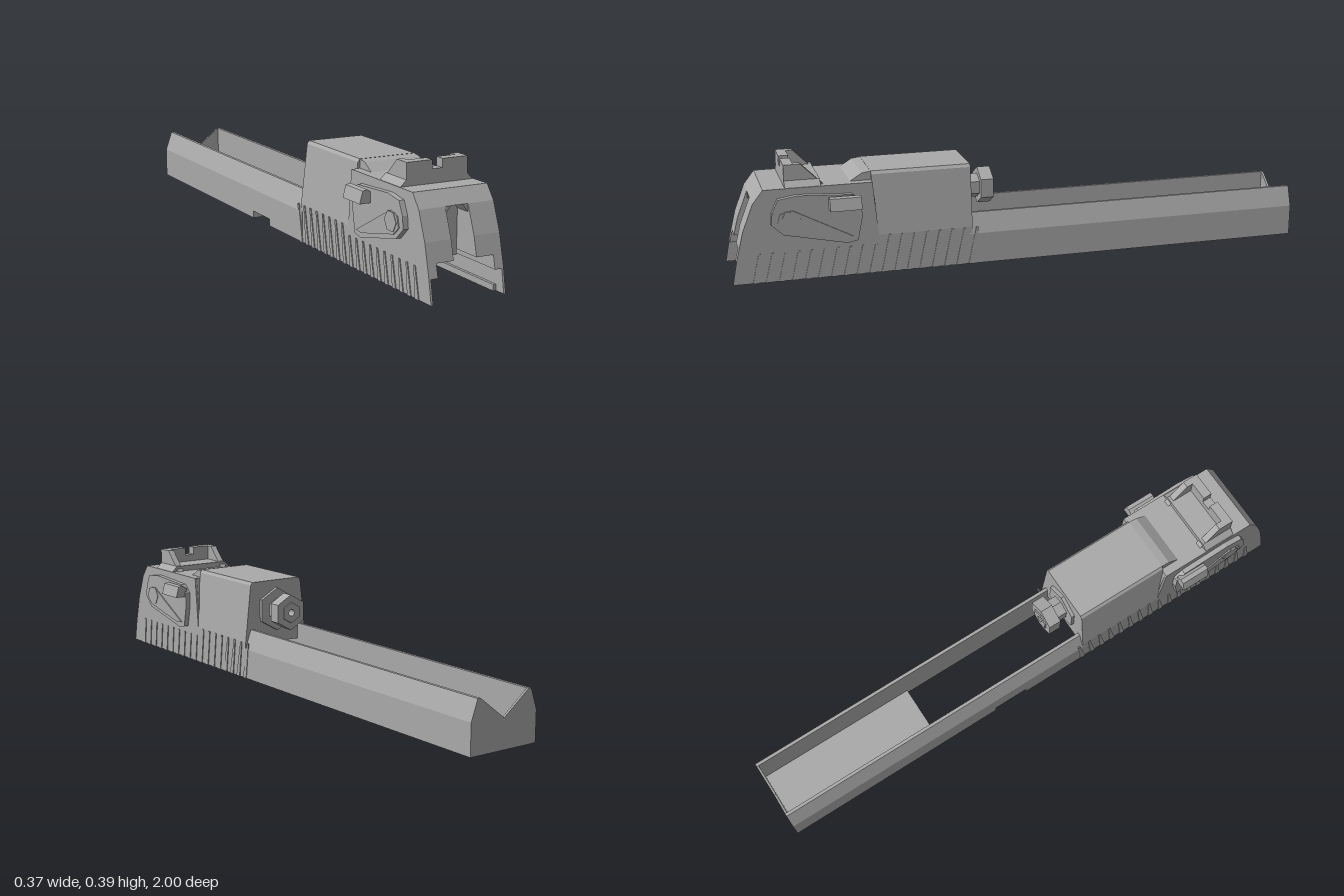
import * as THREE from 'three';

const steel = new THREE.MeshStandardMaterial({ color: 0xa9a9a9 });
steel.name = 'grey steel';

export function createModel() {
  const model = new THREE.Group();
  model.name = 'pistolSlide';

  const add = (name, geo) => {
    const g = geo.index ? geo.toNonIndexed() : geo;
    g.computeVertexNormals();
    const m = new THREE.Mesh(g, steel);
    m.name = name;
    model.add(m);
    return m;
  };
  const shapeOf = pts => new THREE.Shape(pts.map(p => new THREE.Vector2(p[0], p[1])));
  const extrude = (shape, depth) =>
    new THREE.ExtrudeGeometry(shape, { depth, bevelEnabled: false, curveSegments: 6 });
  // Side outline of [z, y] points, running from x0 to x1
  const across = (name, pts, x0, x1) =>
    add(name, extrude(shapeOf(pts), x1 - x0).rotateY(-Math.PI / 2).translate(x1, 0, 0));
  // Section of [x, y] points, running from z0 to z1
  const along = (name, pts, z0, z1) =>
    add(name, extrude(shapeOf(pts), z1 - z0).translate(0, 0, z0));
  const box = (name, x0, x1, y0, y1, z0, z1) =>
    add(name, new THREE.BoxGeometry(x1 - x0, y1 - y0, z1 - z0)
      .translate((x0 + x1) / 2, (y0 + y1) / 2, (z0 + z1) / 2));
  const mirrorX = pts => pts.map(([x, y]) => [-x, y]);
  // Range on the +x side, or its mirror image on the -x side
  const range = (s, a, b) => s > 0 ? [a, b] : [-b, -a];

  // Rear housing: side slabs whose undersides step up to form the channel
  const curve = [[1, 0], [0.985, 0.08], [0.96, 0.18], [0.925, 0.27], [0.89, 0.315]];
  const rearZ = y => {
    const i = curve.findIndex(p => p[1] > y);
    const [a, b] = [curve[i - 1], curve[i]];
    return a[0] + (b[0] - a[0]) * (y - a[1]) / (b[1] - a[1]);
  };
  const rearProfile = b => [[0.5, b], [rearZ(b), b], ...curve.filter(p => p[1] > b), [0.53, 0.315]];
  for (const s of [1, -1]) {
    across('rearSkirt', rearProfile(0), ...range(s, 0.124, 0.131));
    across('rearWall', rearProfile(0.075), ...range(s, 0.1, 0.124));
    across('rearShoulder', rearProfile(0.118), ...range(s, 0.04, 0.1));
  }
  // Middle slab with the upright slot in its back
  across('slottedCentre', [[0.5, 0.118], [0.55, 0.1], [0.87, 0.1], [0.87, 0.262],
    [0.925, 0.27], [0.89, 0.315], [0.5, 0.315]], -0.04, 0.04);
  // Sloping corners at the top of the slot
  for (const s of [1, -1]) {
    along('slotCorner', [[0.04 * s, 0.245], [0.04 * s, 0.27], [0.02 * s, 0.27]], 0.87, 0.925);
  }

  // Tall middle housing with tapered sides and a channel underneath
  const half = [[0.131, 0], [0.131, 0.13], [0.108, 0.335], [0.1, 0.345]];
  const inner = [[0.1, 0.118], [0.1, 0.075], [0.124, 0.075], [0.124, 0]];
  along('middleHousing', [...half, ...mirrorX(half).reverse(),
    ...mirrorX(inner).reverse(), ...inner], 0.19, 0.53);
  across('topRamp', [[0.5, 0.3], [0.61, 0.3], [0.6, 0.315], [0.56, 0.34], [0.525, 0.345], [0.5, 0.345]],
    -0.1, 0.1);

  // Long side rails; the -x one has a notch in its lower edge
  const rail = b => [[0.132, b], [0.132, 0.106], [0.108, 0.175], [0.097, 0.175], [0.097, b]];
  along('rightRail', rail(0), -1, 0.2);
  along('leftRail', mirrorX(rail(0)), -1, -0.18);
  along('leftRail', mirrorX(rail(0.025)), -0.18, -0.05);
  along('leftRail', mirrorX(rail(0)), -0.05, 0.2);

  // Floor and grooved end plate
  box('floor', -0.097, 0.097, 0, 0.025, -1, -0.41);
  along('endPlate', [[-0.097, 0], [0.097, 0], [0.097, 0.175], [0, 0.1], [-0.097, 0.175]], -1, -0.992);

  for (const s of [1, -1]) {
    // Guide strips inside the channel
    box('guideStrip', ...range(s, 0.114, 0.126), 0, 0.02, 0.3, 0.96);
    // Slanted grip ribs on the lower sides
    for (let i = 0; i < 18; i++) {
      const z = 0.185 + i * 0.043;
      const h = i < 8 ? 0.13 : 0.1;
      across('gripRib', [[z, 0], [z + 0.02, 0], [z + 0.012 - h * 0.15, h], [z + 0.004 - h * 0.15, h]],
        ...range(s, 0.13, 0.134));
    }

    // Safety lever: side plate, pivot and thumb wing
    across('leverPlate', [[0.87, 0.2], [0.865, 0.24], [0.845, 0.283], [0.78, 0.293], [0.6, 0.283],
      [0.57, 0.255], [0.57, 0.2], [0.585, 0.125], [0.62, 0.118], [0.83, 0.163]], ...range(s, 0.125, 0.149));
    across('leverRidge', [[0.85, 0.2], [0.84, 0.235], [0.8, 0.245], [0.6, 0.14], [0.63, 0.135], [0.82, 0.175]],
      ...range(s, 0.145, 0.153));
    add('leverPivot', new THREE.CylinderGeometry(0.034, 0.034, 0.02, 6)
      .rotateZ(Math.PI / 2).translate(s * 0.145, 0.212, 0.805));
    const wing = [[0.14, 0.24], [0.187, 0.24], [0.176, 0.28], [0.16, 0.283], [0.14, 0.27]];
    along('thumbWing', s > 0 ? wing : mirrorX(wing), 0.575, 0.68);
  }

  // Rear sight: flared base, notched back wall and sloping sides around a tray
  along('sightBase', [[-0.131, 0.312], [0.131, 0.312], [0.108, 0.335], [-0.108, 0.335]], 0.7, 0.818);
  along('sightWall', [[-0.108, 0.33], [0.108, 0.33], [0.108, 0.388], [0.018, 0.388],
    [0.018, 0.36], [-0.018, 0.36], [-0.018, 0.388], [-0.108, 0.388]], 0.785, 0.818);
  for (const s of [1, -1]) {
    across('sightCheek', [[0.69, 0.315], [0.79, 0.315], [0.79, 0.388], [0.762, 0.388]],
      ...range(s, 0.085, 0.108));
  }

  // Bolt stub at the front of the housing: flange, neck and drilled six-sided head
  const hex = (r, hole) => {
    const shape = shapeOf(Array.from({ length: 6 }, (_, i) => {
      const a = Math.PI / 6 + i * Math.PI / 3;
      return [r * Math.cos(a), r * Math.sin(a)];
    }));
    if (hole) shape.holes.push(new THREE.Path().absarc(0, 0, hole, 0, Math.PI * 2, true));
    return shape;
  };
  const stub = (name, r, hole, z0, z1) =>
    add(name, extrude(hex(r, hole), z1 - z0).translate(0, 0.24, z0));
  stub('boltFlange', 0.078, 0, 0.178, 0.195);
  stub('boltNeck', 0.042, 0, 0.135, 0.19);
  stub('boltHead', 0.064, 0.012, 0.095, 0.14);
  stub('boltFace', 0.038, 0.012, 0.09, 0.096);

  return model;
}
